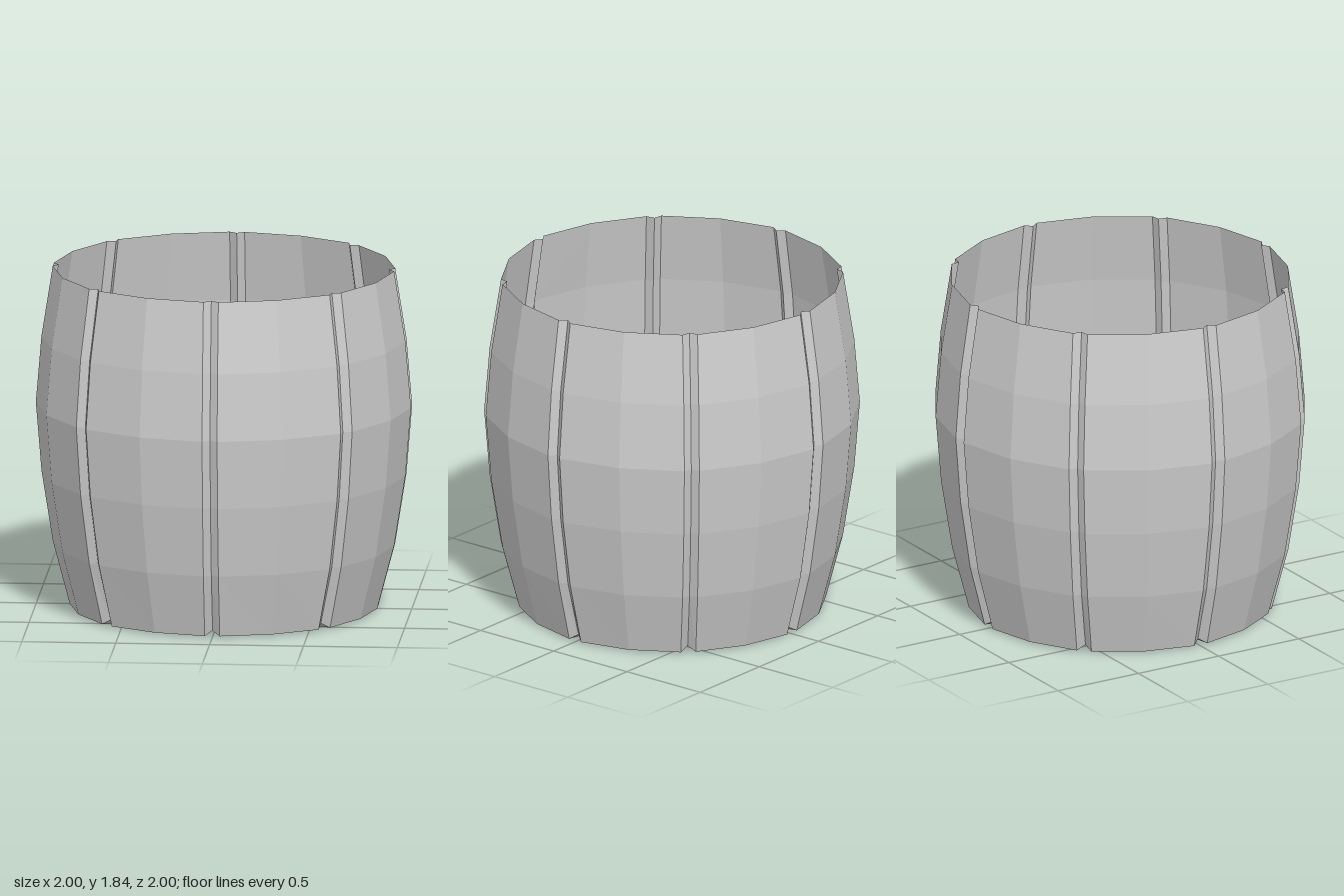
import * as THREE from 'three';

const STAVES = 8;
const STEP = (Math.PI * 2) / STAVES;

// Each row: radius, height, half width of groove, groove inset, groove lift
const wallRows = [
  [0.91, 1.84, 0.04, 0.03, 0],
  [0.97, 1.46, 0.04, 0.03, 0],
  [1.0, 1.1, 0.04, 0.03, 0],
  [0.97, 0.73, 0.04, 0.03, 0],
  [0.91, 0.35, 0.04, 0.03, 0],
  [0.82, 0.008, 0.04, 0.03, 0.025],
];
const footRows = [
  wallRows[wallRows.length - 1],
  [0.655, 0, 0.025, 0, 0.025],
  [0.648, 0.16, 0.004, 0, 0],
];

// One closed ring of points: groove centre, stave edge, stave middle, stave edge
function ring([r, y, half, inset, lift]) {
  const edge = Math.asin(half / r);
  const points = [];
  const add = (angle, radius, height) =>
    points.push([Math.sin(angle) * radius, height, Math.cos(angle) * radius]);
  for (let i = 0; i < STAVES; i++) {
    const a = i * STEP;
    add(a, r - inset, y + lift);
    add(a + edge, r, y);
    add(a + STEP / 2, r * 0.992, y);
    add(a + STEP - edge, r, y);
  }
  return points;
}

// Joins neighbouring rings, listed from top to bottom along the outside
function loft(rows) {
  const rings = rows.map(ring);
  const pos = [];
  for (let j = 0; j < rings.length - 1; j++) {
    const up = rings[j], low = rings[j + 1];
    for (let i = 0; i < up.length; i++) {
      const k = (i + 1) % up.length;
      for (const p of [up[i], low[i], low[k], up[i], low[k], up[k]]) pos.push(...p);
    }
  }
  const geometry = new THREE.BufferGeometry();
  geometry.setAttribute('position', new THREE.Float32BufferAttribute(pos, 3));
  geometry.computeVertexNormals();
  return geometry;
}

export function createModel() {
  const group = new THREE.Group();
  group.name = 'barrel';
  const material = new THREE.MeshStandardMaterial({
    color: 0xcccccc, flatShading: true, side: THREE.DoubleSide,
  });
  const add = (name, geometry) => {
    const mesh = new THREE.Mesh(geometry, material);
    mesh.name = name;
    group.add(mesh);
    return mesh;
  };

  // Bulging open wall with grooves between the staves
  add('staves', loft(wallRows));
  // Flat foot ring, notched by the grooves, and the wall of the recess
  add('footRing', loft(footRows));
  // Raised floor
  const floor = add('floor', new THREE.CircleGeometry(0.648, STAVES * 2));
  floor.rotation.x = -Math.PI / 2;
  floor.position.y = 0.16;

  return group;
}
